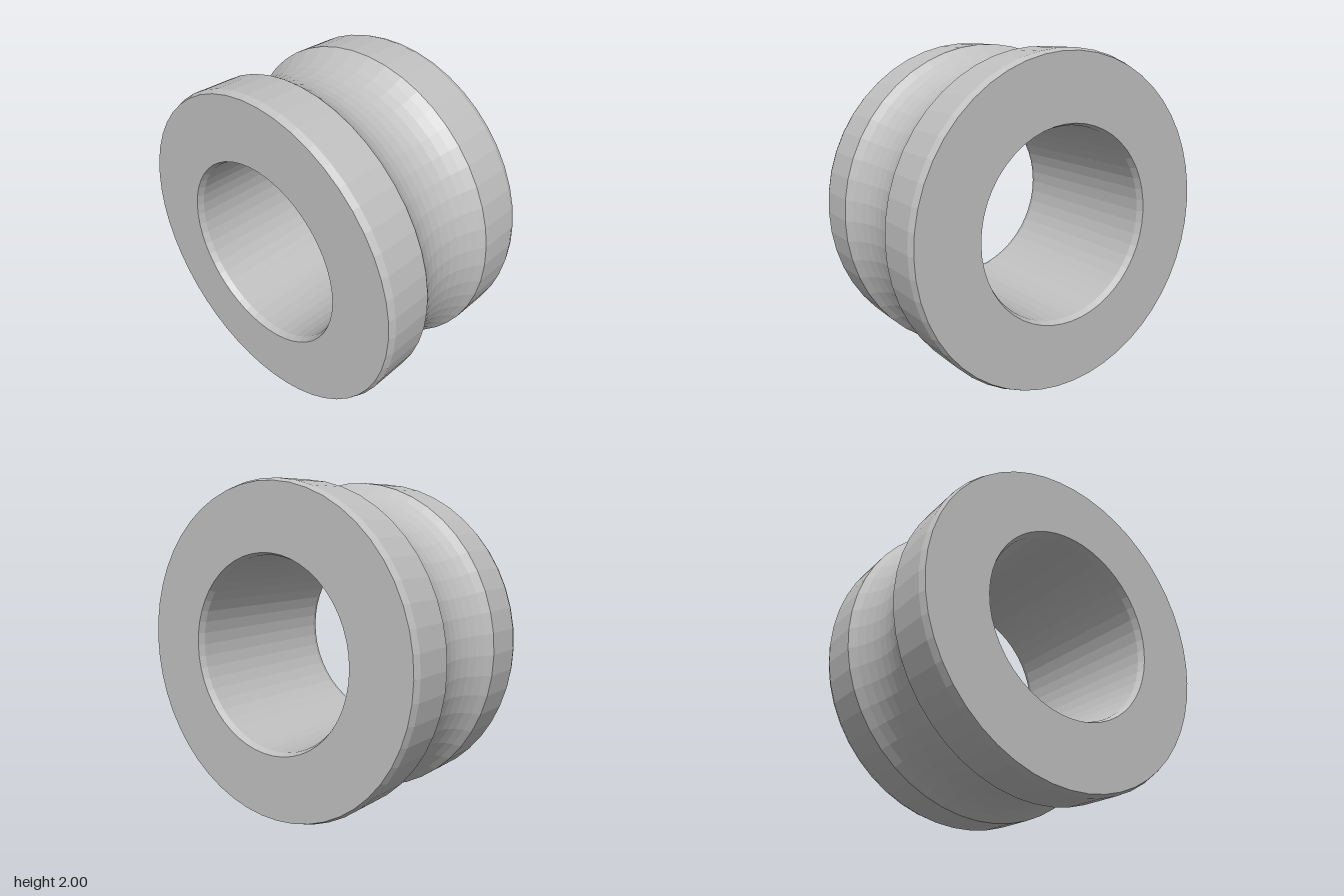
import * as THREE from 'three';

export function createModel() {
  const group = new THREE.Group();
  group.name = 'groovedRoller';
  const grey = new THREE.MeshStandardMaterial({ color: 0xbfbfbf, flatShading: true });
  grey.name = 'grey';

  const sides = 50, outer = 1, bore = 0.575, half = 0.57;
  const chamferDepth = 0.04, chamfer = 0.015;
  const grooveHalf = 0.27, grooveDepth = 0.1;
  const grooveRadius = (grooveHalf ** 2 + grooveDepth ** 2) / (2 * grooveDepth);
  const grooveAngle = Math.asin(grooveHalf / grooveRadius);
  const centreY = outer * Math.cos(Math.PI / sides);

  // Revolves a profile of [radius, z] points about the z axis
  function addRing(name, profile) {
    const points = profile.map(([r, z]) => new THREE.Vector2(r, z));
    const geometry = new THREE.LatheGeometry(points, sides, Math.PI / 2);
    geometry.rotateX(Math.PI / 2);
    const mesh = new THREE.Mesh(geometry, grey);
    mesh.name = name;
    mesh.position.y = centreY;
    group.add(mesh);
  }

  // Concave rope groove around the middle
  const groove = [];
  const steps = 10;
  for (let i = 0; i <= steps; i++) {
    const a = grooveAngle * (2 * i / steps - 1);
    groove.push([outer - grooveDepth + grooveRadius * (1 - Math.cos(a)), grooveRadius * Math.sin(a)]);
  }
  addRing('groove', groove);

  // Flanges: rim, outer chamfer, flat face and bore chamfer
  const flange = [
    [outer, grooveHalf],
    [outer, half - chamferDepth],
    [outer - chamfer, half],
    [bore + chamfer, half],
    [bore, half - chamferDepth],
  ];
  addRing('frontFlange', flange);
  addRing('backFlange', flange.map(([r, z]) => [r, -z]).reverse());

  // Through bore
  addRing('bore', [[bore, half - chamferDepth], [bore, chamferDepth - half]]);

  return group;
}
